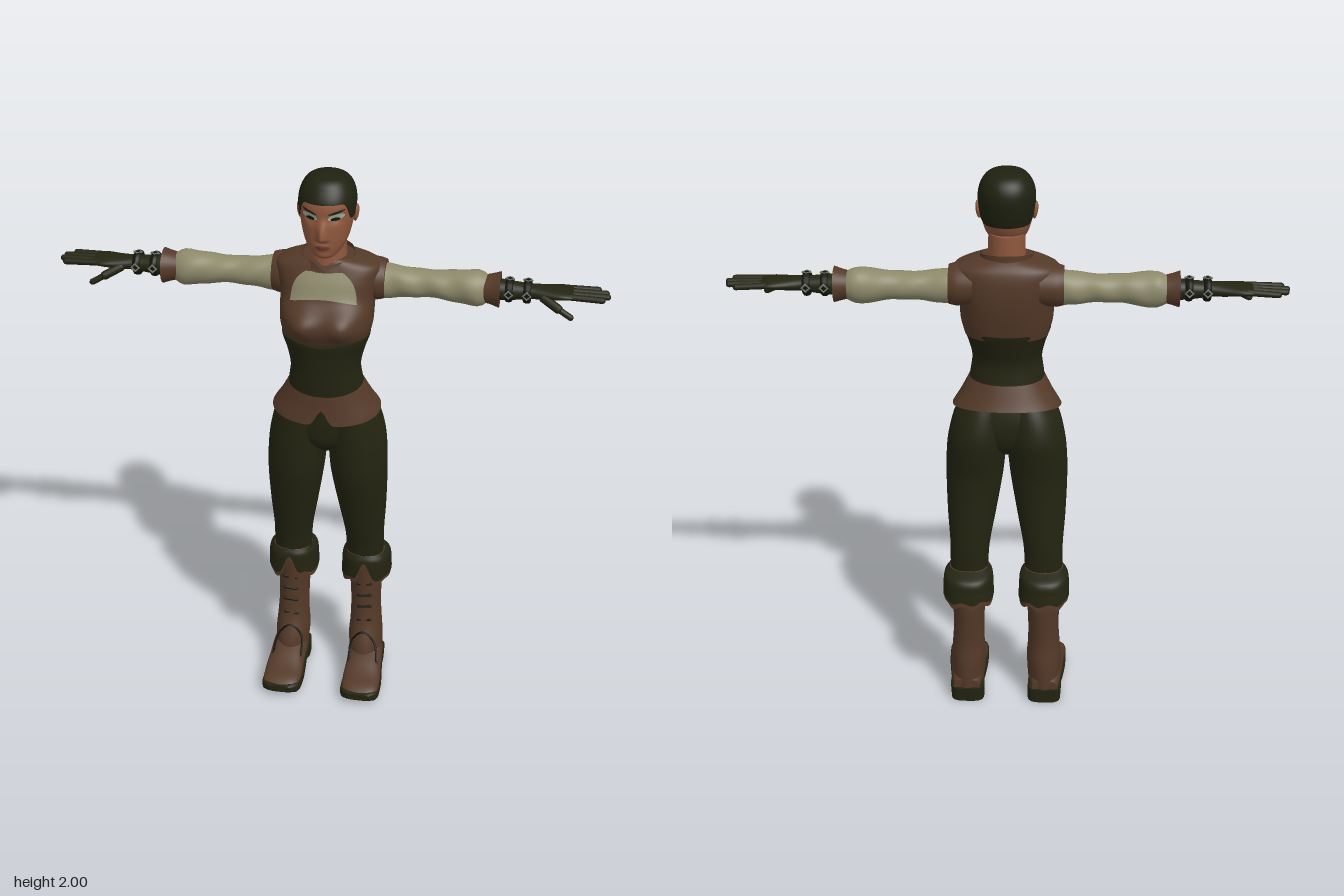
import * as THREE from 'three';

const mat = (name, color, side = THREE.FrontSide) => {
  const m = new THREE.MeshStandardMaterial({ color, side });
  m.name = name;
  return m;
};
const smooth = THREE.MathUtils.smoothstep;
const bell = (d, w) => Math.exp(-(d * d) / (w * w));
const sp = (c, p) => Math.sign(c) * Math.abs(c) ** (2 / p);

// Smooth interpolation of sections [s, aMin, aMax, bMin, bMax] at position s
function section(keys, s) {
  let i = 0;
  while (i < keys.length - 2 && s > keys[i + 1][0]) i++;
  const k0 = keys[i], k1 = keys[i + 1], h = k1[0] - k0[0];
  const t = THREE.MathUtils.clamp((s - k0[0]) / h, 0, 1);
  const slope = (j, c) => {
    const a = keys[Math.max(j - 1, 0)], b = keys[Math.min(j + 1, keys.length - 1)];
    return (b[c] - a[c]) / (b[0] - a[0]);
  };
  return [1, 2, 3, 4].map(c => k0[c] * (1 + 2 * t) * (1 - t) ** 2 + k1[c] * t * t * (3 - 2 * t)
    + h * (slope(i, c) * t * (1 - t) ** 2 + slope(i + 1, c) * t * t * (t - 1)));
}

// Skin of superellipse rings along an axis; lo/hi shape the ends by angle
function loft(keys, { n = 40, m = 24, axis = 'y', pow = 2, lo, hi, cap = true, warp } = {}) {
  const pos = [], idx = [], s0 = keys[0][0], s1 = keys[keys.length - 1][0];
  const tri = (a, b, c) => (axis === 'y' ? idx.push(a, b, c) : idx.push(a, c, b));
  const put = (a, s, b) => {
    const v = axis === 'y' ? [a, s, b] : axis === 'x' ? [s, a, b] : [a, b, s];
    if (warp) v[2] += warp(...v);
    pos.push(...v);
  };
  for (let i = 0; i <= m; i++) for (let j = 0; j < n; j++) {
    const th = j / n * Math.PI * 2, c = Math.cos(th), d = Math.sin(th);
    const l = lo ? lo(c, d) : s0, u = hi ? hi(c, d) : s1, s = l + (u - l) * i / m;
    const [a0, a1, b0, b1] = section(keys, s);
    put((a0 + a1) / 2 + (a1 - a0) / 2 * sp(c, pow), s, (b0 + b1) / 2 + (b1 - b0) / 2 * sp(d, pow));
  }
  for (let i = 0; i < m; i++) for (let j = 0; j < n; j++) {
    const k = (j + 1) % n, a = i * n + j, b = i * n + k;
    tri(a, a + n, b + n);
    tri(a, b + n, b);
  }
  if (cap) for (const row of [0, m]) {
    const start = pos.length / 3, mid = [0, 0, 0];
    for (let j = 0; j < n; j++) for (let c = 0; c < 3; c++) {
      const v = pos[(row * n + j) * 3 + c];
      pos.push(v);
      mid[c] += v / n;
    }
    pos.push(...mid);
    for (let j = 0; j < n; j++) {
      const a = start + j, b = start + (j + 1) % n;
      row ? tri(start + n, b, a) : tri(start + n, a, b);
    }
  }
  const g = new THREE.BufferGeometry();
  g.setAttribute('position', new THREE.Float32BufferAttribute(pos, 3));
  g.setIndex(idx);
  g.computeVertexNormals();
  return g;
}

// Thin plate laid over the front of a loft
function patch(shape, keys, pow, warp, lift) {
  const p = shape.attributes.position;
  for (let i = 0; i < p.count; i++) {
    const x = p.getX(i), y = p.getY(i), [a0, a1, b0, b1] = section(keys, y);
    const r = Math.max(0, 1 - Math.abs(2 * x / (a1 - a0)) ** pow) ** (1 / pow);
    const z = (b0 + b1) / 2 + (b1 - b0) / 2 * r;
    p.setZ(i, z + warp(x, y, z) + lift);
  }
  shape.computeVertexNormals();
  return shape;
}

function rod(a, b, r) {
  const A = new THREE.Vector3(...a), d = new THREE.Vector3(...b).sub(A);
  const g = new THREE.CapsuleGeometry(r, d.length(), 5, 12);
  g.applyQuaternion(new THREE.Quaternion().setFromUnitVectors(new THREE.Vector3(0, 1, 0), d.clone().normalize()));
  return g.translate(A.x + d.x / 2, A.y + d.y / 2, A.z + d.z / 2);
}

function mirrored(geo) {
  const g = geo.clone().scale(-1, 1, 1), ix = g.index.array;
  for (let i = 0; i < ix.length; i += 3) [ix[i], ix[i + 1]] = [ix[i + 1], ix[i]];
  const nm = g.attributes.normal;
  g.computeVertexNormals();
  return nm ? g : geo;
}

export function createModel() {
  const root = new THREE.Group();
  const olive = mat('dark olive cloth', 0x232411, THREE.DoubleSide), hairMat = mat('dark hair', 0x1f2110);
  const brown = mat('brown leather', 0x543928, THREE.DoubleSide), linen = mat('pale linen', 0x8d8a6b, THREE.DoubleSide);
  const skin = mat('skin', 0x8f573d), metal = mat('dull metal', 0x6c7468), black = mat('black trim', 0x14140c);
  const pale = mat('pale eye paint', 0x9fb0a0), lip = mat('lips', 0x6b3a2c);
  const add = (name, geo, m) => {
    const mesh = new THREE.Mesh(geo, m);
    mesh.name = name;
    root.add(mesh);
  };
  const pair = (name, geo, m) => { add('left ' + name, geo, m); add('right ' + name, mirrored(geo), m); };
  const sym = rows => rows.map(([y, x, b, f]) => [y, -x, x, b, f]);

  // Head with nose, eye sockets, lips and ears
  const headKeys = sym([[1.735, .03, 0, .07], [1.745, .045, -.03, .079], [1.78, .068, -.075, .085], [1.82, .081, -.1, .087],
    [1.87, .089, -.115, .087], [1.92, .09, -.121, .083], [1.96, .077, -.108, .062], [1.985, .052, -.078, .036], [1.996, .012, -.03, -.005]]);
  const faceWarp = (x, y, z) => z < 0 ? 0 :
    .027 * bell(x, .015) * smooth(1.89 - y, 0, .078) * smooth(y, 1.794, 1.812)
    - .008 * (bell(x - .04, .022) + bell(x + .04, .022)) * bell(y - 1.874, .016)
    + .006 * bell(x, .022) * bell(y - 1.778, .012) + .004 * bell(x, .025) * bell(y - 1.745, .012);
  add('head', loft(headKeys, { n: 96, m: 70, pow: 2.15, warp: faceWarp }), skin);
  add('neck', loft(sym([[1.64, .075, -.11, .045], [1.7, .064, -.1, .042], [1.79, .06, -.098, .04]])), skin);
  pair('ear', new THREE.SphereGeometry(1, 16, 12).scale(.009, .03, .018).rotateZ(-.12).translate(.093, 1.863, -.025), skin);
  const hairKeys = headKeys.slice(2).map(([y, a, b, c, d]) => [y + .004, a - .004, b + .004, c - .005, d + .004]);
  add('cropped hair', loft(hairKeys, { n: 80, m: 30, pow: 2.15,
    lo: (c, d) => 1.825 + .04 * smooth(d, -.6, .1) + .06 * smooth(d, .35, .75) }), hairMat);
  const oval = (x, y, rx, ry, tilt, lift) => patch(new THREE.RingGeometry(.001, 1, 24, 4).scale(rx, ry, 1)
    .rotateZ(tilt).translate(x, y, 0), headKeys, 2.15, faceWarp, lift);
  pair('eye paint', oval(.043, 1.882, .026, .011, .2, .002), pale);
  pair('eye', oval(.041, 1.876, .015, .006, .08, .0035), black);
  pair('eyebrow', oval(.045, 1.899, .026, .004, .25, .003), hairMat);
  add('mouth', oval(0, 1.778, .024, .008, 0, .0015), lip);

  // Vest, shirt front, collar and shoulder caps
  const vestKeys = sym([[1.43, .143, -.12, .11], [1.48, .155, -.132, .122], [1.53, .158, -.143, .116], [1.58, .16, -.15, .086],
    [1.64, .172, -.15, .066], [1.68, .172, -.14, .048], [1.7, .13, -.125, .04], [1.712, .08, -.11, .035]]);
  const bust = (x, y, z) => z < 0 ? 0 : .034 * bell(y - 1.505, .05) * (bell(x - .07, .055) + bell(x + .07, .055));
  add('vest', loft(vestKeys, { n: 80, m: 50, pow: 2.4, warp: bust }), brown);
  const bib = new THREE.PlaneGeometry(2, 1, 30, 20), bp = bib.attributes.position;
  for (let i = 0; i < bp.count; i++) {
    const u = bp.getX(i), v = bp.getY(i) + .5, w = .112 - .012 * v - .038 * v ** 4;
    bp.setXY(i, u * w, 1.575 + .102 * v + .016 * (1 - u * u) * (1 - v));
  }
  add('shirt front', patch(bib, vestKeys, 2.4, bust, .004), linen);
  add('collar', loft(sym([[1.675, .1, -.125, .058], [1.7, .09, -.115, .05], [1.735, .088, -.112, .045]]),
    { cap: false, hi: (c, d) => 1.718 - .014 * d - .02 * bell(c, .25) * (d > 0 ? 1 : 0) }), brown);
  pair('shoulder cap', loft([[.11, 1.55, 1.69, -.14, .015], [.165, 1.545, 1.688, -.138, .01], [.19, 1.55, 1.682, -.13, 0]],
    { axis: 'x', m: 10 }), brown);

  // Corset and flared hem with a front notch
  add('corset', loft(sym([[1.22, .132, -.1, .112], [1.27, .126, -.091, .117], [1.33, .119, -.088, .122], [1.39, .131, -.108, .13],
    [1.44, .148, -.127, .14], [1.46, .15, -.13, .138]]), { n: 64, pow: 2.2,
    lo: (c, d) => 1.245 - (d > 0 ? .018 * bell(c, .3) : 0), hi: (c, d) => 1.45 - .012 * (d > 0 ? bell(c, .35) : 0) }), olive);
  add('vest hem', loft(sym([[1.12, .2, -.165, .128], [1.155, .188, -.15, .122], [1.2, .16, -.127, .117], [1.26, .128, -.1, .113]]),
    { n: 120, pow: 2.2, cap: false, lo: (c, d) => 1.157 - .022 * d + (d > 0 ? .055 * bell(c, .1) : 0) }), brown);

  // Trousers
  add('trouser seat', loft(sym([[.99, .03, -.08, .04], [1.03, .1, -.115, .075], [1.1, .175, -.13, .086], [1.17, .165, -.12, .09],
    [1.25, .12, -.09, .1]])), olive);
  pair('trouser leg', loft([[.45, .07, .19, -.11, -.005], [.55, .065, .2, -.115, 0], [.62, .06, .2, -.12, .015],
    [.75, .037, .208, -.12, .045], [.9, .012, .212, -.125, .08], [1, .003, .208, -.145, .088], [1.06, 0, .2, -.153, .09],
    [1.14, 0, .178, -.135, .09], [1.22, 0, .13, -.1, .09]], { m: 40 }), olive);

  // Boots with turned-down cuffs
  const split = (c, d) => (d > 0 ? .075 * bell(c, .2) : 0);
  const cuff = [[.4, .043, .227, -.186, .013], [.47, .046, .225, -.178, .013], [.515, .05, .22, -.166, .012], [.535, .065, .203, -.12, .002]];
  pair('boot cuff', loft(cuff, { n: 72, pow: 2.3, cap: false, lo: (c, d) => .436 + split(c, d) + .006 * Math.sin(c * 9) }), olive);
  pair('cuff lining', loft(cuff.map(([y, a, b, c, d]) => [y, a + .004, b - .004, c + .004, d - .004]),
    { n: 72, pow: 2.3, cap: false, lo: (c, d) => .418 + split(c, d) + .008 * Math.sin(c * 9) }), brown);
  pair('boot shaft', loft([[.04, .085, .198, -.15, .02], [.1, .08, .2, -.15, .033], [.16, .075, .2, -.148, .018], [.22, .079, .195, -.141, -.006],
    [.3, .08, .19, -.145, -.015], [.4, .075, .192, -.155, -.01], [.52, .064, .197, -.15, .004]]), brown);
  pair('boot foot', loft([[-.145, .095, .19, .035, .09], [-.05, .08, .205, .03, .14], [.03, .08, .21, .025, .115], [.1, .077, .215, .02, .082],
    [.16, .085, .21, .02, .064], [.182, .11, .185, .025, .05]], { axis: 'z', pow: 2.4 }), brown);
  pair('boot sole', loft([[-.07, .085, .2, .015, .05], [.03, .077, .213, 0, .048], [.1, .073, .218, .003, .05], [.165, .08, .213, .01, .054],
    [.188, .108, .187, .024, .05]], { axis: 'z', pow: 4 }), olive);
  pair('boot heel', loft([[0, .08, .2, -.152, -.045], [.055, .08, .203, -.156, -.045]], { pow: 3.5, m: 4 }), olive);
  for (const y of [.24, .3, .35, .4])
    pair('boot lace', rod([.115, y, -.016], [.16, y + .004, -.016], .005), black);
  const arch = [[.09, .09, .05], [.096, .16, .008], [.138, .2, .008], [.18, .16, .012], [.196, .09, .05]].map(p => new THREE.Vector3(...p));
  pair('boot seam', new THREE.TubeGeometry(new THREE.CatmullRomCurve3(arch), 24, .004, 6), black);

  // Sleeves and flared brown wrist cuffs
  pair('sleeve', loft([[.14, 1.548, 1.672, -.123, -.007], [.2, 1.55, 1.668, -.12, -.01], [.28, 1.56, 1.658, -.115, -.015],
    [.37, 1.562, 1.657, -.115, -.015], [.43, 1.552, 1.663, -.117, -.01], [.5, 1.545, 1.667, -.12, -.008], [.53, 1.56, 1.652, -.105, -.02]],
    { axis: 'x', warp: (x, y) => .003 * Math.sin(x * 60 + y * 30) }), linen);
  pair('sleeve cuff', loft([[.515, 1.562, 1.652, -.108, -.017], [.545, 1.555, 1.66, -.114, -.01], [.57, 1.547, 1.668, -.121, 0]],
    { axis: 'x', m: 8 }), brown);

  // Gloves, straps and buckles
  pair('glove', loft([[.55, 1.57, 1.645, -.102, -.023], [.62, 1.577, 1.638, -.096, -.029], [.67, 1.585, 1.634, -.094, -.03],
    [.72, 1.588, 1.632, -.103, -.02], [.775, 1.595, 1.63, -.115, -.012], [.81, 1.6, 1.624, -.112, -.018]], { axis: 'x' }), olive);
  for (const [z0, z1, tip] of [[-.1, -.107, .89], [-.077, -.082, .917], [-.053, -.055, .922], [-.029, -.027, .905]])
    pair('finger', rod([.79, 1.613, z0], [tip, 1.61, z1], .0105), olive);
  pair('thumb', rod([.715, 1.602, -.03], [.765, 1.578, -.006], .015), olive);
  pair('thumb tip', rod([.765, 1.578, -.006], [.807, 1.555, .003], .0105), olive);
  for (const x of [.6, .66]) {
    pair('wrist strap', new THREE.TorusGeometry(.039, .008, 8, 24).scale(1, .9, 1.6).rotateY(Math.PI / 2).translate(x, 1.61, -.062), black);
    for (const [y, z] of [[1.648, -.062], [1.61, -.016], [1.61, -.108]])
      pair('buckle', new THREE.TorusGeometry(.013, .004, 6, 4).rotateX(y > 1.64 ? Math.PI / 2 : 0).translate(x, y, z), metal);
  }
  return root;
}
